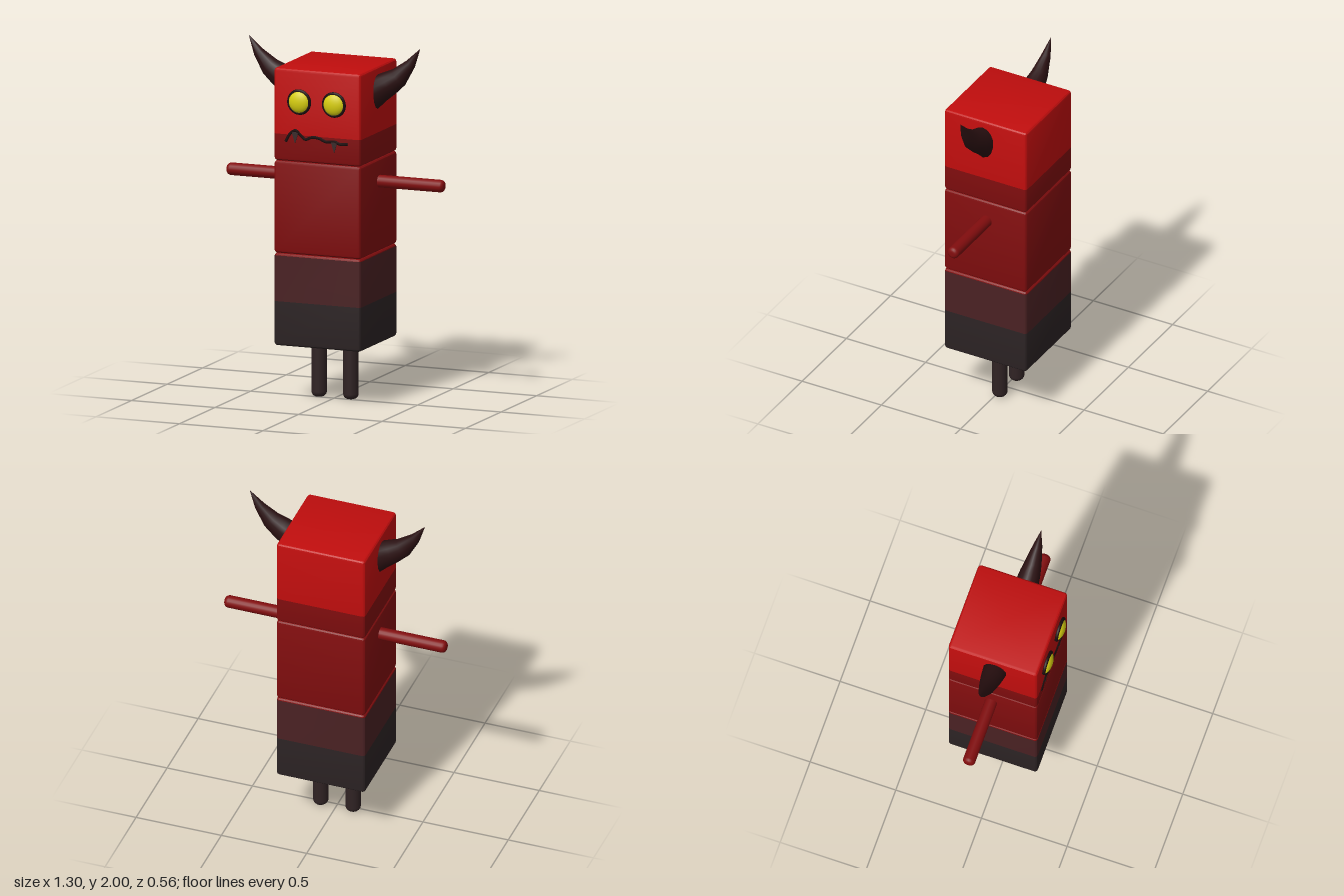
import * as THREE from 'three';
import { toCreasedNormals } from 'three/addons/utils/BufferGeometryUtils.js';

const paint = (name, color) => {
  const m = new THREE.MeshStandardMaterial({ color });
  m.name = name;
  return m;
};

// Skin a list of equal-length rings of Vector3
function loft(rings, crease) {
  const pos = [];
  const n = rings[0].length;
  for (let i = 0; i < rings.length - 1; i++) {
    for (let j = 0; j < n; j++) {
      const k = (j + 1) % n;
      const a = rings[i][j], b = rings[i][k], c = rings[i + 1][j], d = rings[i + 1][k];
      for (const p of [a, c, b, b, c, d]) pos.push(p.x, p.y, p.z);
    }
  }
  const geo = new THREE.BufferGeometry();
  geo.setAttribute('position', new THREE.Float32BufferAttribute(pos, 3));
  return toCreasedNormals(geo, crease);
}

// Square ring with rounded corners
const HALF = 0.26, R = 0.018, STEPS = 3, BLOCK_Z = -0.02;
function squareRing(y, inset, closed = false) {
  const pts = [];
  for (let q = 0; q < 4; q++) {
    const mid = (q + 0.5) * Math.PI / 2;
    const cx = Math.sign(Math.cos(mid)) * (HALF - R);
    const cz = Math.sign(Math.sin(mid)) * (HALF - R);
    for (let s = 0; s <= STEPS; s++) {
      const a = (q + s / STEPS) * Math.PI / 2;
      const r = R - inset;
      pts.push(closed ? new THREE.Vector3(0, y, 0)
        : new THREE.Vector3(cx + r * Math.cos(a), y, cz + r * Math.sin(a)));
    }
  }
  return pts;
}

// One colour band of a block, with rounded edges at its closed ends
function band(y0, y1, roundBottom, roundTop) {
  const rings = [];
  const edge = (y, dir) => {
    const out = [squareRing(y, 0, true)];
    for (let s = 0; s <= STEPS; s++) {
      const a = s / STEPS * Math.PI / 2;
      out.push(squareRing(y + dir * R * (1 - Math.cos(a)), R * (1 - Math.sin(a))));
    }
    return out;
  };
  rings.push(...(roundBottom ? edge(y0, 1) : [squareRing(y0, 0)]));
  rings.push(...(roundTop ? edge(y1, -1).reverse() : [squareRing(y1, 0)]));
  return loft(rings, 0.4);
}

// Rod along +y with a rounded far end
function rod(radius, length, round) {
  const pts = [new THREE.Vector2(radius, 0)];
  for (let s = 0; s <= 5; s++) {
    const a = s / 5 * Math.PI / 2;
    pts.push(new THREE.Vector2(radius - round + round * Math.cos(a), length - round + round * Math.sin(a)));
  }
  pts.push(new THREE.Vector2(0, length));
  return new THREE.LatheGeometry(pts, 20);
}

// Curved horn: x, y, half height, half depth at each section
function horn() {
  const sections = [
    [0.20, 1.71, 0.09, 0.07], [0.27, 1.76, 0.078, 0.066], [0.33, 1.795, 0.068, 0.058],
    [0.385, 1.832, 0.056, 0.046], [0.455, 1.91, 0.03, 0.026], [0.513, 2.0, 0.0005, 0.0005],
  ];
  const rings = sections.map(([x, y, h, d], i) => {
    const p = sections[Math.max(i - 1, 0)], q = sections[Math.min(i + 1, sections.length - 1)];
    const t = new THREE.Vector2(q[0] - p[0], q[1] - p[1]).normalize();
    return Array.from({ length: 14 }, (_, j) => {
      const a = j / 14 * Math.PI * 2;
      const u = Math.cos(a) * h;
      return new THREE.Vector3(x + t.y * u, y - t.x * u, Math.sin(a) * d);
    });
  });
  return loft(rings, 0.9);
}

export function createModel() {
  const model = new THREE.Group();
  model.name = 'hornedFigure';

  const red = paint('brightRed', 0xc00d0d);
  const darkRed = paint('darkRed', 0x820d0e);
  const maroon = paint('maroonBrown', 0x4a2123);
  const charcoal = paint('charcoal', 0x2d2425);
  const hornColor = paint('hornBrown', 0x2a1011);
  const legColor = paint('legBrown', 0x302324);
  const yellow = paint('eyeYellow', 0xd8cf10);
  const black = paint('mouthBlack', 0x1c0c0c);
  const fangColor = paint('fangGrey', 0x3a2a2a);

  const add = (name, geo, mat, x = 0, y = 0, z = 0) => {
    const m = new THREE.Mesh(geo, mat);
    m.name = name;
    m.position.set(x, y, z);
    model.add(m);
    return m;
  };

  // Stacked blocks in colour bands
  const bands = [
    ['hipsLower', 0.32, 0.57, true, false, charcoal],
    ['hipsUpper', 0.57, 0.827, false, false, maroon],
    ['hipsTopEdge', 0.822, 0.84, false, true, darkRed],
    ['torso', 0.84, 1.36, true, true, darkRed],
    ['headLower', 1.36, 1.512, true, false, darkRed],
    ['headUpper', 1.512, 1.88, false, true, red],
  ];
  for (const [name, y0, y1, rb, rt, mat] of bands) {
    add(name, band(y0, y1, rb, rt), mat, 0, 0, BLOCK_Z);
  }

  // Limbs, horns and eyes on both sides
  const armGeo = rod(0.035, 0.41, 0.024);
  const legGeo = rod(0.043, 0.34, 0.03);
  const hornGeo = horn();
  const eyeGeo = new THREE.SphereGeometry(0.064, 24, 16);
  const rimGeo = new THREE.TorusGeometry(0.062, 0.01, 8, 28);
  for (const s of [1, -1]) {
    const side = s > 0 ? 'left' : 'right';
    add(side + 'Arm', armGeo, darkRed, s * 0.24, 1.235, -0.027).rotation.z = -s * Math.PI / 2;
    add(side + 'Leg', legGeo, legColor, s * 0.095 - 0.003, 0.34, -0.02).rotation.x = Math.PI;
    add(side + 'Horn', hornGeo, hornColor, 0, 0, -0.006).rotation.y = s > 0 ? 0 : Math.PI;
    add(side + 'Eye', eyeGeo, yellow, s * 0.104, 1.70, 0.242).scale.z = 0.53;
    add(side + 'EyeRim', rimGeo, black, s * 0.104, 1.70, 0.247);
  }

  // Wavy mouth
  const line = new THREE.CatmullRomCurve3([
    [-0.187, 1.472], [-0.162, 1.515], [-0.128, 1.538], [-0.098, 1.513], [-0.07, 1.492], [-0.03, 1.506],
    [0.012, 1.504], [0.053, 1.488], [0.105, 1.492], [0.14, 1.48], [0.187, 1.485],
  ].map(([x, y]) => new THREE.Vector3(x, y, 0)));
  add('mouth', new THREE.TubeGeometry(line, 50, 0.009, 6), black, 0, 0, 0.239);

  // Small fangs hanging from the mouth
  const fang = new THREE.Shape([
    new THREE.Vector2(-0.02, 0), new THREE.Vector2(0, -0.062), new THREE.Vector2(0.02, 0),
  ]);
  const fangGeo = new THREE.ExtrudeGeometry(fang, { depth: 0.007, bevelEnabled: false });
  add('rightFang', fangGeo, fangColor, -0.13, 1.528, 0.239);
  add('leftFang', fangGeo, fangColor, 0.104, 1.492, 0.239);

  return model;
}
